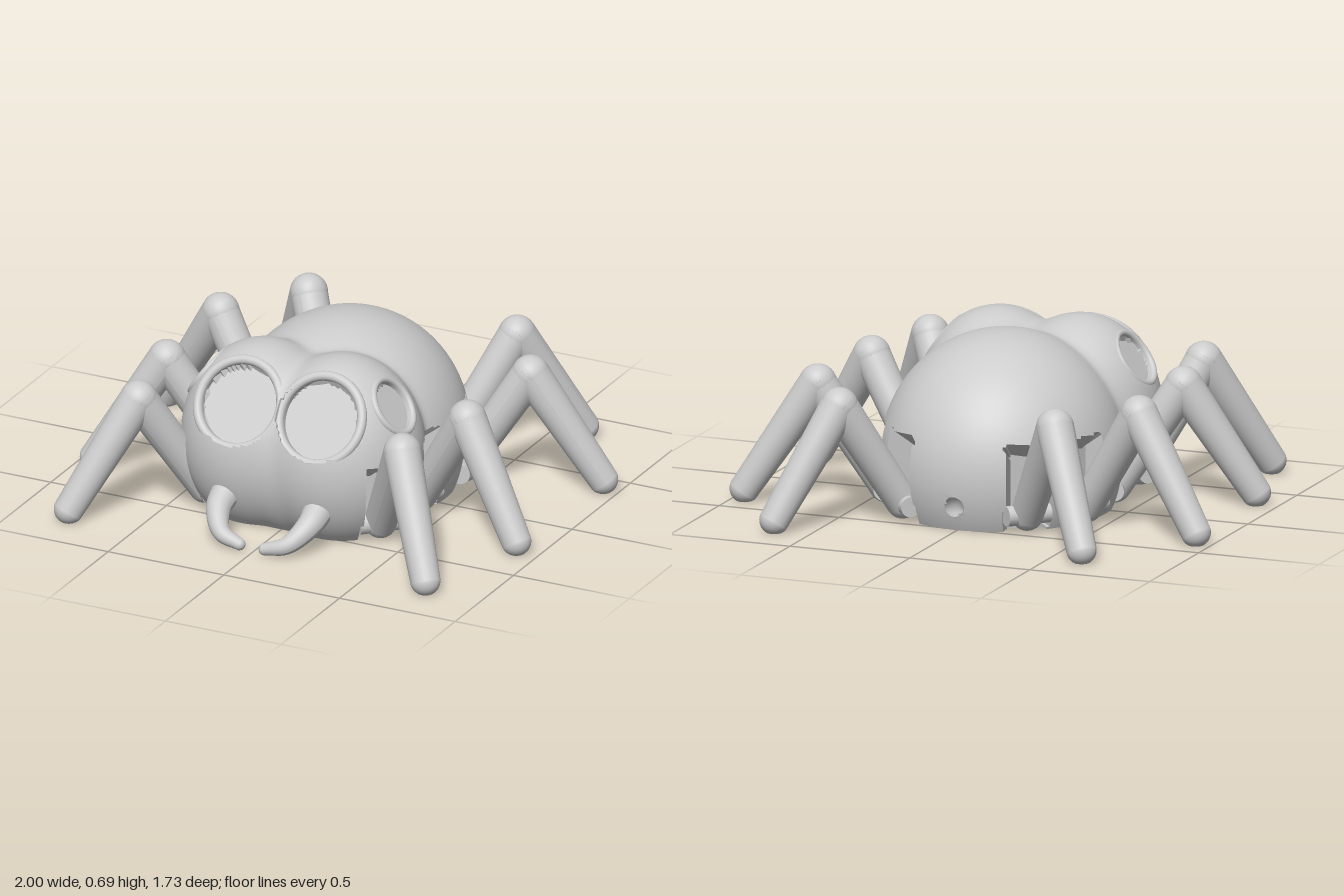
import * as THREE from 'three';
import { toCreasedNormals } from 'three/addons/utils/BufferGeometryUtils.js';

const V = (x, y, z) => new THREE.Vector3(x, y, z);
const grey = new THREE.MeshStandardMaterial({ color: 0xcccccc });
const greyDouble = new THREE.MeshStandardMaterial({ color: 0xcccccc, side: THREE.DoubleSide });
const UP = V(0, 1, 0);
const SIDES = [1, -1];

// Leg layout on the +x side: root, knee and foot
const LEGS = [
  { name: 'frontLeg', root: V(0.38, 0.07, 0.41), knee: V(0.57, 0.475, 0.6), foot: V(0.77, 0.05, 0.8) },
  { name: 'frontMiddleLeg', root: V(0.4, 0.07, 0.11), knee: V(0.65, 0.475, 0.2), foot: V(0.91, 0.05, 0.3) },
  { name: 'rearMiddleLeg', root: V(0.42, 0.07, -0.22), knee: V(0.67, 0.475, -0.3), foot: V(0.94, 0.05, -0.385) },
  { name: 'rearLeg', root: V(0.26, 0.07, -0.44), knee: V(0.45, 0.475, -0.62), foot: V(0.64, 0.05, -0.815) },
];

// Eyes on the +x side: rim centre, facing, socket radius, rim thickness, depth
const EYES = [
  { name: 'frontEye', at: V(0.175, 0.51, 0.535), n: V(0, 0.53, 0.85).normalize(), r: 0.155, rim: 0.019, depth: 0.04 },
  { name: 'sideEye', at: V(0.405, 0.535, 0.33), n: V(0.82, 0.57, 0).normalize(), r: 0.098, rim: 0.014, depth: 0.03 },
];

// Overlapping ellipsoids of the body: abdomen, face and two head lobes
const BLOBS = [
  [V(0, 0.2, -0.05), V(0.47, 0.49, 0.51)],
  [V(0, 0.27, 0.3), V(0.3, 0.36, 0.31)],
  [V(0.17, 0.3, 0.32), V(0.32, 0.385, 0.32)],
  [V(-0.17, 0.3, 0.32), V(0.32, 0.385, 0.32)],
];
const ORIGIN = V(0, 0, 0.05);
const HOLE = { y: 0.1, r: 0.04, endZ: -0.33 };

function add(parent, name, geometry, material = grey) {
  const mesh = new THREE.Mesh(geometry, material);
  mesh.name = name;
  parent.add(mesh);
  return mesh;
}

// Far intersection of a ray from ORIGIN with an ellipsoid, 0 on a miss
function rayHit(dir, [centre, radii]) {
  const o = ORIGIN.clone().sub(centre).divide(radii);
  const d = dir.clone().divide(radii);
  const a = d.dot(d), b = o.dot(d), disc = b * b - a * (o.dot(o) - 1);
  return disc < 0 ? 0 : Math.max(0, (-b + Math.sqrt(disc)) / a);
}

// Blended body surface along a direction, with eye sockets and leg slots cut in
function bodyPoint(dir) {
  const k = 0.016;
  let t = k * Math.log(BLOBS.reduce((sum, blob) => sum + Math.exp(rayHit(dir, blob) / k), 0));
  const p = ORIGIN.clone().addScaledVector(dir, t);
  const s = p.x < 0 ? -1 : 1;
  const cut = (point, normal) => {
    const slope = dir.dot(normal);
    if (slope > 0.05) t = Math.min(t, point.clone().sub(ORIGIN).dot(normal) / slope);
  };
  for (const e of EYES) {
    const n = V(e.n.x * s, e.n.y, e.n.z), at = V(e.at.x * s, e.at.y, e.at.z);
    const rel = p.clone().sub(at), h = rel.dot(n);
    if (h > -0.1 && rel.addScaledVector(n, -h).length() < e.r + e.rim * 0.7) {
      cut(at.clone().addScaledVector(n, -e.depth - 0.008), n);
    }
  }
  for (const { root, knee } of LEGS) {
    const n = V((knee.x - root.x) * s, 0, knee.z - root.z).normalize();
    const at = V(root.x * s, 0, root.z), rel = p.clone().sub(at);
    const side = Math.abs(rel.x * n.z - rel.z * n.x);
    if (side < 0.085 && p.y < 0.34 && rel.dot(n) > -0.09) cut(at.addScaledVector(n, -0.08), n);
  }
  return ORIGIN.clone().addScaledVector(dir, t);
}

function buildBody(group) {
  const cols = 256, rows = 88;
  const geo = new THREE.SphereGeometry(1, cols, rows, 0, Math.PI * 2, 0, Math.PI / 2);
  const pos = geo.attributes.position;
  const inHole = [], outline = [];
  for (let i = 0; i < pos.count; i++) {
    const p = bodyPoint(V(0, 0, 0).fromBufferAttribute(pos, i).normalize());
    // Snap vertices near the rear hole onto its edge
    const d = Math.hypot(p.x, p.y - HOLE.y);
    if (p.z < -0.4 && d > HOLE.r - 0.009 && d < HOLE.r + 0.006) {
      p.x *= HOLE.r / d;
      p.y = HOLE.y + (p.y - HOLE.y) * HOLE.r / d;
    }
    inHole.push(p.z < -0.4 && d < HOLE.r + 0.006);
    const row = Math.floor(i / (cols + 1));
    if (row === rows) {
      p.y = 0;
      if (i % (cols + 1) < cols) outline.push(new THREE.Vector2(p.x, p.z));
    }
    pos.setXYZ(i, p.x, p.y, p.z);
  }
  const faces = [], idx = geo.index.array;
  for (let i = 0; i < idx.length; i += 3) {
    const f = [idx[i], idx[i + 1], idx[i + 2]];
    if (!f.every((v) => inHole[v])) faces.push(...f);
  }
  geo.setIndex(faces);
  geo.scale(100, 100, 100);
  add(group, 'body', toCreasedNormals(geo, 0.7).scale(0.01, 0.01, 0.01));

  // Flat underside and the tunnel from the back to it
  const shape = new THREE.Shape(outline);
  shape.holes.push(new THREE.Path().absarc(0, HOLE.endZ, HOLE.r, 0, Math.PI * 2, true));
  add(group, 'underside', new THREE.ShapeGeometry(shape, 24).rotateX(Math.PI / 2));
  const path = new THREE.QuadraticBezierCurve3(
    V(0, HOLE.y, -0.549), V(0, HOLE.y, HOLE.endZ), V(0, 0, HOLE.endZ));
  add(group, 'tunnel', new THREE.TubeGeometry(path, 20, HOLE.r, 24), greyDouble);
}

// Sunken disc, socket wall and rounded rim
function buildEye(group, e, s) {
  const eye = new THREE.Group();
  eye.name = e.name;
  const profile = [new THREE.Vector2(0, -e.depth), new THREE.Vector2(e.r, -e.depth)];
  for (let i = 0; i <= 12; i++) {
    const a = Math.PI - (i / 12) * Math.PI * 1.15;
    profile.push(new THREE.Vector2(e.r + e.rim + Math.cos(a) * e.rim, -e.rim + Math.sin(a) * e.rim));
  }
  profile.push(new THREE.Vector2(e.r + e.rim, -e.depth - 0.01));
  const geo = new THREE.LatheGeometry(profile.reverse(), 64);
  geo.scale(100, 100, 100);
  add(eye, 'socket', toCreasedNormals(geo, 0.7).scale(0.01, 0.01, 0.01), greyDouble);
  eye.position.set(e.at.x * s, e.at.y, e.at.z);
  eye.quaternion.setFromUnitVectors(UP, V(e.n.x * s, e.n.y, e.n.z));
  group.add(eye);
}

// Keep a geometry above the ground
function flattenBase(geo) {
  const pos = geo.attributes.position;
  for (let i = 0; i < pos.count; i++) pos.setY(i, Math.max(0, pos.getY(i)));
  geo.computeVertexNormals();
  return geo;
}

// Tapered round-ended limb from a to b
function limb(a, b, ra, rb) {
  const dir = b.clone().sub(a), len = dir.length(), pts = [];
  for (let i = 0; i <= 20; i++) {
    const ang = -Math.PI / 2 + (i / 20) * Math.PI, end = i > 10;
    const r = end ? rb : ra;
    pts.push(new THREE.Vector2(Math.max(0, Math.cos(ang) * r), Math.sin(ang) * r + (end ? len : 0)));
  }
  const geo = new THREE.LatheGeometry(pts, 28);
  geo.applyQuaternion(new THREE.Quaternion().setFromUnitVectors(UP, dir.normalize()));
  return flattenBase(geo.translate(a.x, a.y, a.z));
}

function buildLeg(group, spec, s) {
  const leg = new THREE.Group();
  leg.name = spec.name;
  const [root, knee, foot] = [spec.root, spec.knee, spec.foot].map((p) => V(p.x * s, p.y, p.z));
  add(leg, 'upperLeg', limb(root, knee, 0.064, 0.074));
  add(leg, 'lowerLeg', limb(knee, foot, 0.074, 0.059));
  // Hinge pin across the slot
  const across = V(knee.z - root.z, 0, root.x - knee.x).normalize();
  const pin = add(leg, 'hingePin', new THREE.CylinderGeometry(0.04, 0.04, 0.18, 20));
  pin.position.copy(root);
  pin.quaternion.setFromUnitVectors(UP, across);
  group.add(leg);
}

// Curved fang, tapered along its path
function buildFang(group, s) {
  const path = new THREE.CatmullRomCurve3([
    V(0.2 * s, 0.15, 0.58), V(0.195 * s, 0.11, 0.66), V(0.14 * s, 0.05, 0.74), V(0.055 * s, 0.025, 0.758)]);
  const fang = new THREE.Group();
  fang.name = 'fang';
  const steps = 24, sides = 20, r0 = 0.06, r1 = 0.024;
  const geo = new THREE.TubeGeometry(path, steps, r0, sides);
  const pos = geo.attributes.position;
  for (let i = 0; i < pos.count; i++) {
    const t = Math.floor(i / (sides + 1)) / steps;
    const p = V(0, 0, 0).fromBufferAttribute(pos, i).lerp(path.getPointAt(t), t * (1 - r1 / r0));
    pos.setXYZ(i, p.x, p.y, p.z);
  }
  add(fang, 'fangCurve', flattenBase(geo));
  for (const [t, r] of [[0, r0], [1, r1]]) {
    const c = path.getPointAt(t);
    add(fang, t ? 'fangTip' : 'fangBase', flattenBase(new THREE.SphereGeometry(r, 20, 14).translate(c.x, c.y, c.z)));
  }
  group.add(fang);
}

export function createModel() {
  const model = new THREE.Group();
  model.name = 'spider';
  buildBody(model);
  for (const s of SIDES) {
    EYES.forEach((e) => buildEye(model, e, s));
    LEGS.forEach((leg) => buildLeg(model, leg, s));
    buildFang(model, s);
  }
  return model;
}
